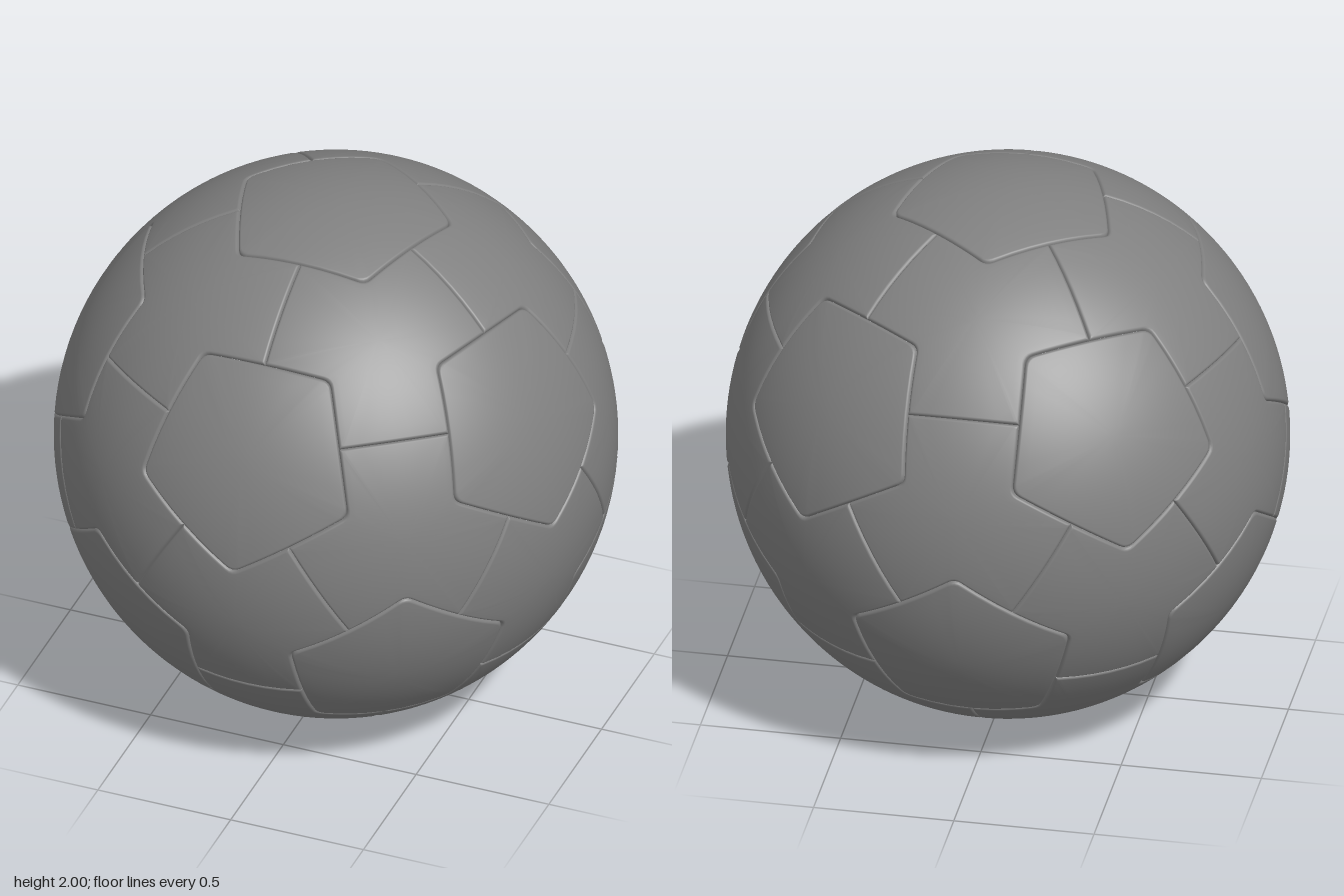
import * as THREE from 'three';

const RADIUS = 0.988;          // around the equator
const HEIGHT = 1;              // from the middle to the poles
const EDGE = 0.35;             // angle: pentagon centre to edge middle
const CORNER = Math.atan(Math.tan(EDGE) / Math.cos(Math.PI / 5));
const ROUNDING = 0.03;         // cut at each pentagon corner
// seam cross-section: [distance from seam, drop below surface]
const GROOVE = [[0, 0.013], [0.0015, 0.008], [0.004, 0.0035], [0.0075, 0.001], [0.012, 0]];
const FILL_RINGS = 9;

const material = new THREE.MeshStandardMaterial({ color: 0x808080 });

// put a direction on the slightly tall ball, sunk by a drop
const place = (p, drop) => new THREE.Vector3(
  p.x * (RADIUS - drop), p.y * (HEIGHT - drop), p.z * (RADIUS - drop));

// point reached by walking an angle from a towards b on the unit sphere
function walk(a, b, angle) {
  const side = b.clone().addScaledVector(a, -a.dot(b)).normalize();
  return a.clone().multiplyScalar(Math.cos(angle)).addScaledVector(side, Math.sin(angle));
}

// move every side of a spherical polygon inwards by the same distance
function inset(corners, d) {
  const n = corners.length;
  const planes = corners.map((p, i) => p.clone().cross(corners[(i + 1) % n]).normalize());
  return corners.map((p, i) => {
    const n1 = planes[(i + n - 1) % n], n2 = planes[i];
    const sum = n1.clone().add(n2), cross = n1.clone().cross(n2);
    const a = Math.sin(d) / (1 + n1.dot(n2));
    const b = Math.sqrt((1 - a * a * sum.lengthSq()) / cross.lengthSq()) * Math.sign(cross.dot(p));
    return sum.multiplyScalar(a).addScaledVector(cross, b);
  });
}

// outline with rounded corners and evenly divided sides
function outline(corners, cuts) {
  const n = corners.length, pts = [];
  corners.forEach((p, i) => {
    const next = corners[(i + 1) % n];
    const a = walk(p, corners[(i + n - 1) % n], cuts[i]);
    const b = walk(p, next, cuts[i]);
    for (let k = 0; k <= 4; k++) {
      const t = k / 4;
      pts.push(a.clone().multiplyScalar((1 - t) ** 2).addScaledVector(p, 2 * t * (1 - t))
        .addScaledVector(b, t * t).normalize());
    }
    const end = walk(next, p, cuts[(i + 1) % n]);
    for (let k = 1; k < 6; k++) pts.push(b.clone().lerp(end, k / 6).normalize());
  });
  return pts;
}

// one stitched panel: rings rolling out of the seam, then closing to the centre
function panel(name, corners, cuts, centre) {
  const rings = [];
  let rim;
  GROOVE.forEach(([d, drop]) => {
    rim = outline(inset(corners, d), cuts.map((c) => c || d * 0.8));
    rings.push(rim.map((p) => place(p, drop)));
  });
  for (let k = 1; k < FILL_RINGS; k++) {
    rings.push(rim.map((p) => place(p.clone().lerp(centre, k / FILL_RINGS).normalize(), 0)));
  }
  const n = rim.length, index = [];
  const points = [...rings.flat(), place(centre, 0)];
  for (let r = 0; r < rings.length; r++) {
    for (let i = 0; i < n; i++) {
      const a = r * n + i, b = r * n + (i + 1) % n;
      if (r === rings.length - 1) index.push(a, b, points.length - 1);
      else index.push(a, b, b + n, a, b + n, a + n);
    }
  }
  const geometry = new THREE.BufferGeometry().setFromPoints(points);
  geometry.setIndex(index);
  geometry.computeVertexNormals();
  const mesh = new THREE.Mesh(geometry, material);
  mesh.name = name;
  return mesh;
}

// icosahedron standing on a vertex, with one upper vertex facing the front
function icosahedron() {
  const verts = [new THREE.Vector3(0, 1, 0), new THREE.Vector3(0, -1, 0)];
  const h = 1 / Math.sqrt(5);
  for (let k = 0; k < 10; k++) {
    const a = k * Math.PI / 5;
    verts.push(new THREE.Vector3(2 * h * Math.sin(a), k % 2 ? -h : h, 2 * h * Math.cos(a)));
  }
  const near = (i, j) => verts[i].dot(verts[j]) > 0.4;
  const faces = [];
  for (let i = 0; i < 12; i++) for (let j = i + 1; j < 12; j++) for (let k = j + 1; k < 12; k++) {
    if (!near(i, j) || !near(j, k) || !near(i, k)) continue;
    const out = verts[i].clone().cross(verts[j]).dot(verts[k]) > 0;
    faces.push((out ? [i, j, k] : [i, k, j]).map((m) => verts[m]));
  }
  return { verts, faces };
}

export function createModel() {
  const ball = new THREE.Group();
  ball.name = 'ball';
  const { verts, faces } = icosahedron();
  const middle = (f) => f[0].clone().add(f[1]).add(f[2]).normalize();

  // twelve pentagons, their corners pointing at the face centres
  verts.forEach((v) => {
    const around = faces.filter((f) => f.includes(v)).map(middle);
    const u = walk(v, around[0], Math.PI / 2), w = v.clone().cross(u);
    const turn = (p) => Math.atan2(p.dot(w), p.dot(u));
    around.sort((a, b) => turn(a) - turn(b));
    const corners = around.map((c) => walk(v, c, CORNER));
    ball.add(panel('pentagonPanel', corners, corners.map(() => ROUNDING), v));
  });

  // twenty three-armed panels between them
  faces.forEach((f) => {
    const centre = middle(f);
    const corners = f.flatMap((v, i) => [
      walk(v, f[(i + 2) % 3], EDGE),
      walk(v, centre, CORNER),
      walk(v, f[(i + 1) % 3], EDGE),
    ]);
    ball.add(panel('threeArmedPanel', corners, corners.map((_, i) => (i % 3 === 1 ? ROUNDING : 0)), centre));
  });

  ball.position.y = HEIGHT;
  const model = new THREE.Group();
  model.name = 'stitchedBall';
  model.add(ball);
  return model;
}
